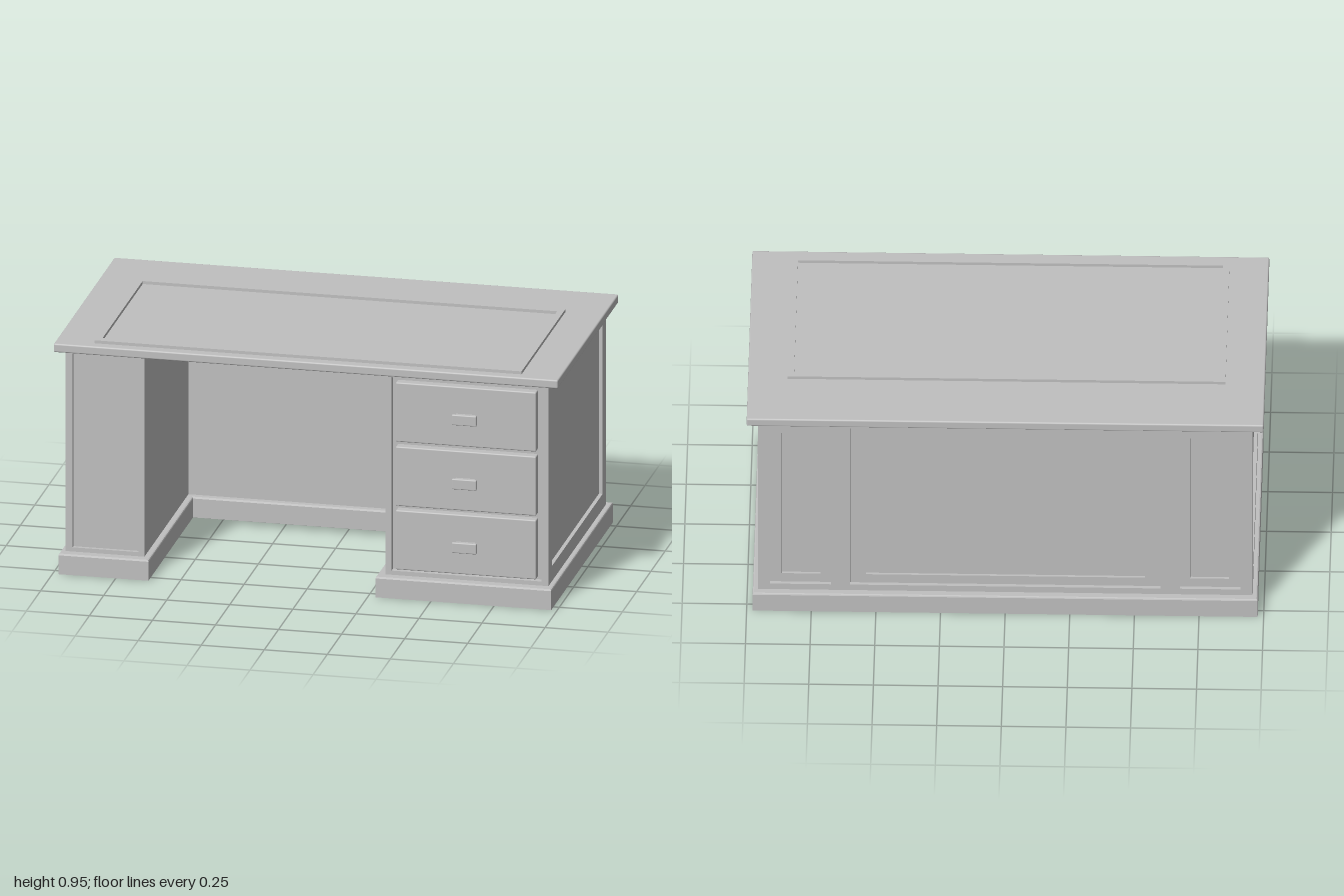
import * as THREE from 'three';
import { RoundedBoxGeometry } from 'three/addons/geometries/RoundedBoxGeometry.js';

export function createModel() {
  const desk = new THREE.Group();
  desk.name = 'desk';
  const grey = new THREE.MeshStandardMaterial({ color: 0xc0c0c0 });
  grey.name = 'plain grey';

  const add = (name, geometry, parent = desk) => {
    const mesh = new THREE.Mesh(geometry, grey);
    mesh.name = name;
    parent.add(mesh);
    return mesh;
  };

  // Box given by its limits, with optional rounded edges
  const box = (name, x0, x1, y0, y1, z0, z1, r = 0, parent = desk) => {
    const size = [x1 - x0, y1 - y0, z1 - z0];
    const g = r ? new RoundedBoxGeometry(...size, 2, r) : new THREE.BoxGeometry(...size);
    add(name, g, parent).position.set((x0 + x1) / 2, (y0 + y1) / 2, (z0 + z1) / 2);
  };

  const rectPoints = ([x0, x1, y0, y1]) => [
    [x0, y0], [x1, y0], [x1, y1], [x0, y1],
  ].map(([x, y]) => new THREE.Vector2(x, y));

  const frame = (outer, holes, depth) => {
    const shape = new THREE.Shape(rectPoints(outer));
    holes.forEach((h) => shape.holes.push(new THREE.Path(rectPoints(h))));
    return new THREE.ExtrudeGeometry(shape, { depth, bevelEnabled: false });
  };

  // U-shaped floor plan round the kneehole, inset by d
  const plan = ({ x, back, front, k0, k1, kz }, d) => [
    [-x + d, back + d], [-x + d, front - d], [k0 - d, front - d], [k0 - d, kz - d],
    [k1 + d, kz - d], [k1 + d, front - d], [x - d, front - d], [x - d, back + d],
  ].map(([px, pz]) => new THREE.Vector2(px, -pz));

  // Hollow ring following the floor plan
  const ring = (name, outline, inset, thick, y0, y1, bevel = 0) => {
    const shape = new THREE.Shape(plan(outline, inset));
    shape.holes.push(new THREE.Path(plan(outline, inset + thick)));
    const g = new THREE.ExtrudeGeometry(shape, {
      depth: y1 - y0, bevelEnabled: bevel > 0, bevelSize: bevel, bevelThickness: bevel, bevelSegments: 2,
    });
    add(name, g.rotateX(-Math.PI / 2)).position.y = y0;
  };

  // Plinth with an eased top edge, open below
  const base = { x: 0.977, back: -0.54, front: 0.54, k0: -0.62, k1: 0.28, kz: -0.24 };
  ring('plinthBoard', base, 0, 0.018, 0, 0.075);
  ring('plinthLip', base, 0.006, 0.06, 0.067, 0.077, 0.006);

  // Cabinet walls
  const core = { x: 0.932, back: -0.485, front: 0.475, k0: -0.645, k1: 0.31, kz: -0.27 };
  ring('cabinetWalls', core, 0, 0.015, 0.08, 0.902);

  // Outer facing in two layers, so that panels can be stepped
  const facing = (name, x0, x1, holes, innerHoles, position, turn = 0) => {
    const group = new THREE.Group();
    group.name = name;
    add('panelFrame', frame([x0, x1, 0.08, 0.902], holes, 0.015), group).position.z = -0.015;
    add('panelInset', frame([x0, x1, 0.08, 0.902], innerHoles, 0.01), group).position.z = -0.025;
    group.position.set(...position);
    group.rotation.y = turn;
    desk.add(group);
  };
  const drawerOpening = [[0.335, 0.93, 0.1, 0.89]];
  facing('drawerFrontFrame', 0.31, 0.957, drawerOpening, drawerOpening, [0, 0, 0.5]);
  facing('narrowFrontPanel', -0.957, -0.645, [[-0.93, -0.668, 0.1, 0.89]], [], [0, 0, 0.5]);
  for (const s of [1, -1]) {
    facing(s > 0 ? 'leftSidePanel' : 'rightSidePanel', -0.48, 0.48,
      [[-0.445, 0.445, 0.145, 0.835]], [], [s * 0.957, 0, -0.005], s * Math.PI / 2);
  }
  facing('backPanels', -0.957, 0.957,
    [[-0.91, -0.675, 0.11, 0.875], [-0.6, 0.6, 0.11, 0.875], [0.675, 0.91, 0.11, 0.875]],
    [[-0.865, -0.715, 0.15, 0.835], [-0.54, 0.54, 0.15, 0.835], [0.715, 0.865, 0.15, 0.835]],
    [0, 0, -0.51], Math.PI);

  // Drawers with their pulls
  [0.23, 0.49, 0.752].forEach((y) => {
    const drawer = new THREE.Group();
    drawer.name = 'drawer';
    desk.add(drawer);
    box('drawerFront', 0.353, 0.91, y - 0.121, y + 0.121, 0.47, 0.51, 0.005, drawer);
    box('drawerBox', 0.37, 0.89, y - 0.115, y + 0.09, -0.04, 0.472, 0, drawer);
    const h = y - 0.005;
    box('handleStem', 0.593, 0.669, h - 0.017, h + 0.017, 0.505, 0.53, 0, drawer);
    box('handlePull', 0.582, 0.68, h - 0.021, h + 0.021, 0.526, 0.541, 0.004, drawer);
  });

  // Desktop with a raised border around the writing surface
  box('desktop', -1, 1, 0.9, 0.935, -0.538, 0.526, 0.006);
  const border = frame([-0.847, 0.847, -0.485, 0.28], [[-0.822, 0.822, -0.452, 0.25]], 0.014);
  add('writingSurfaceBorder', border.rotateX(-Math.PI / 2)).position.y = 0.933;

  return desk;
}
